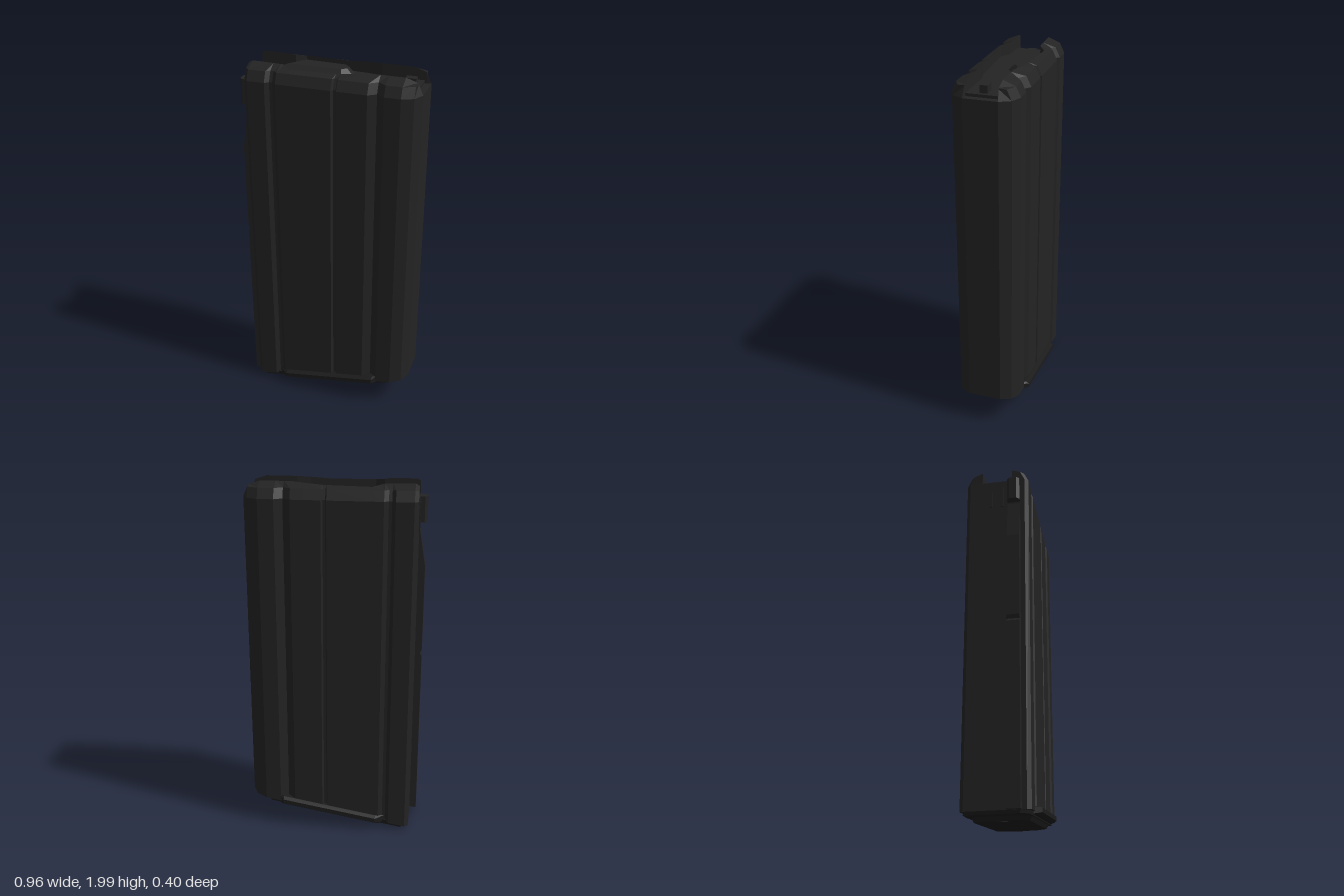
import * as THREE from 'three';

const shellMat = new THREE.MeshStandardMaterial({ color: 0x232323 });
shellMat.name = 'shell black';
const baseMat = new THREE.MeshStandardMaterial({ color: 0x1b1b1b });
baseMat.name = 'base black';

// Closed solid through rings of [x, y, z]; u and v are the axes used to fill the end caps.
function loft(rings, u = 0, v = 2) {
  const n = rings[0].length, tris = [];
  for (let r = 0; r + 1 < rings.length; r++)
    for (let i = 0; i < n; i++) {
      const j = (i + 1) % n, a = rings[r], b = rings[r + 1];
      tris.push([a[i], a[j], b[j]], [a[i], b[j], b[i]]);
    }
  const cap = (ring, forward) => {
    const pts = ring.map(p => new THREE.Vector2(p[u], p[v]));
    const positive = THREE.ShapeUtils.area(pts) > 0;
    for (const t of THREE.ShapeUtils.triangulateShape(pts, [])) {
      const same = (THREE.ShapeUtils.area(t.map(k => pts[k])) > 0) === positive;
      const tri = t.map(k => ring[k]);
      tris.push(same === forward ? tri : tri.reverse());
    }
  };
  cap(rings[0], false);
  cap(rings[rings.length - 1], true);
  // Turn the whole solid outward if its signed volume is negative.
  const vec = p => new THREE.Vector3(...p);
  const volume = tris.reduce((s, [a, b, c]) => s + vec(a).dot(vec(b).cross(vec(c))), 0);
  if (volume < 0) tris.forEach(t => t.reverse());
  const g = new THREE.BufferGeometry();
  g.setAttribute('position', new THREE.Float32BufferAttribute(tris.flat(2), 3));
  g.computeVertexNormals();
  return g;
}

// Height of the sloping underside.
const floorY = x => 0.1 + 0.165 * x;
const level = (outline, y) => outline.map(([x, z]) => [x, y, z]);
const sloped = (outline, d) => outline.map(([x, z]) => [x, floorY(x) + d, z]);
const mirrored = half => [...half, ...half.map(([x, z]) => [x, -z]).reverse()];

// Side outline with its three vertical grooves, rear to front.
const side = [
  [-0.44, 0.155], [-0.42, 0.175], [-0.325, 0.175], [-0.305, 0.155], [-0.288, 0.155],
  [-0.265, 0.175], [-0.25, 0.175], [-0.2, 0.175], [0.03, 0.175], [0.038, 0.158],
  [0.052, 0.158], [0.06, 0.175], [0.15, 0.175], [0.22, 0.175], [0.262, 0.145],
  [0.305, 0.175], [0.39, 0.175], [0.45, 0.148], [0.48, 0.09],
];

// Piecewise linear lookup.
function lookup(table, x) {
  for (let i = 1; i < table.length; i++) {
    const [x0, y0] = table[i - 1], [x1, y1] = table[i];
    if (x <= x1) return THREE.MathUtils.lerp(y0, y1, Math.max(0, (x - x0) / (x1 - x0)));
  }
  return table[table.length - 1][1];
}
const lipZ = x => lookup([[-0.25, 0.085], [-0.2, 0.12], [0.15, 0.1], [0.21, 0.085]], x);
const lipY = x => lookup([[-0.44, 1.99], [-0.42, 2], [-0.27, 1.998], [-0.2, 1.985],
  [0.05, 1.987], [0.22, 2], [0.4, 2], [0.455, 1.978]], x);

export function createModel() {
  const group = new THREE.Group();
  const add = (name, geometry, material = shellMat) => {
    const mesh = new THREE.Mesh(geometry, material);
    mesh.name = name;
    group.add(mesh);
    return mesh;
  };
  const box = (name, x0, x1, y0, y1, z0, z1, material) =>
    add(name, new THREE.BoxGeometry(x1 - x0, y1 - y0, z1 - z0), material)
      .position.set((x0 + x1) / 2, (y0 + y1) / 2, (z0 + z1) / 2);

  // Main shell
  const outline = mirrored(side);
  add('body', loft([sloped(outline, 0), level(outline, 1.92)]));

  // Feed lips with sloping shoulders
  for (const s of [1, -1]) {
    add(s > 0 ? 'frontLip' : 'backLip', loft(side.map(([x, z]) => {
      const xi = Math.min(x, 0.455), lip = lipZ(x);
      return [
        [x, 1.92, s * z],
        [xi, Math.min(1.973, lipY(xi) - 0.005), s * Math.max(z - 0.025, lip)],
        [xi, lipY(xi), s * lip],
        [xi, 1.92, s * lip],
      ];
    }), 1, 2));
  }

  // Follower plate between the lips
  const plate = mirrored([-0.385, -0.25, -0.2, 0.15, 0.21, 0.445].map(x => [x, lipZ(x)]));
  add('follower', loft([level(plate, 1.915), level(plate, 1.935)]));
  const ridgeLow = [[-0.36, 0.01], [0.03, 0.01], [0.08, -0.04], [0.08, -0.08], [0.045, -0.109], [-0.2, -0.118]];
  const ridgeTop = [[-0.27, -0.025], [0.02, -0.025], [0.045, -0.05], [0.045, -0.08], [0.02, -0.105], [-0.2, -0.115]];
  add('followerRidge', loft([level(ridgeLow, 1.93), level(ridgeTop, 1.965)]));
  box('followerStop', 0.37, 0.425, 1.93, 1.975, -0.02, 0.02);
  const tab = [[-0.385, -0.035], [-0.415, -0.02], [-0.415, 0.02], [-0.385, 0.035]];
  add('followerTab', loft([level(tab, 1.915), level(tab, 1.933)]));

  // Rear guide strip with a nick halfway up
  const strip = [[-0.43, 0.03], [-0.478, 0.022], [-0.478, 1.01], [-0.468, 1.025], [-0.478, 1.045],
    [-0.478, 1.53], [-0.44, 1.76], [-0.43, 1.76]];
  add('rearStrip', loft([0.06, 0.13].map(z => strip.map(([x, y]) => [x, y, z])), 0, 1));

  // Rear catch block above the strip
  const block = [[-0.43, 0.06], [-0.467, 0.06], [-0.482, 0.075], [-0.482, 0.115], [-0.467, 0.13], [-0.43, 0.13]];
  add('rearBlock', loft([level(block, 1.77), level(block, 1.91)]));
  for (const z of [-0.04, 0.02]) box('rearRib', -0.446, -0.435, 1.75, 1.9, z, z + 0.015);

  // Base flange that wraps the lower edge
  const flange = z => mirrored([[-0.305, 0.15], [-0.25, z], [0.285, z], [0.315, 0.16]]);
  add('baseFlange', loft([sloped(flange(0.18), -0.012), sloped(flange(0.2), 0),
    sloped(flange(0.2), 0.025), sloped(flange(0.178), 0.035)]), baseMat);

  // Floor plate, its raised panel and the release button
  const floor = (x0, x1, z, c) => mirrored([[x0, z - c], [x0 + c, z], [x1 - c, z], [x1, z - c]]);
  add('floorPlate', loft([sloped(floor(-0.435, 0.4, 0.16, 0.04), -0.018),
    sloped(floor(-0.44, 0.41, 0.165, 0.04), 0.01)]), baseMat);
  add('floorPanel', loft([sloped(floor(-0.32, 0.365, 0.14, 0.06), -0.04),
    sloped(floor(-0.335, 0.385, 0.155, 0.06), -0.01)]), baseMat);
  add('floorInset', loft([sloped(floor(-0.22, 0.31, 0.07, 0.04), -0.046),
    sloped(floor(-0.235, 0.325, 0.085, 0.04), -0.039)]), baseMat);
  const button = add('releaseButton', new THREE.CylinderGeometry(0.035, 0.035, 0.012, 12), baseMat);
  button.position.set(-0.275, floorY(-0.275) - 0.038, 0);
  button.rotation.z = Math.atan(0.165);

  return group;
}
